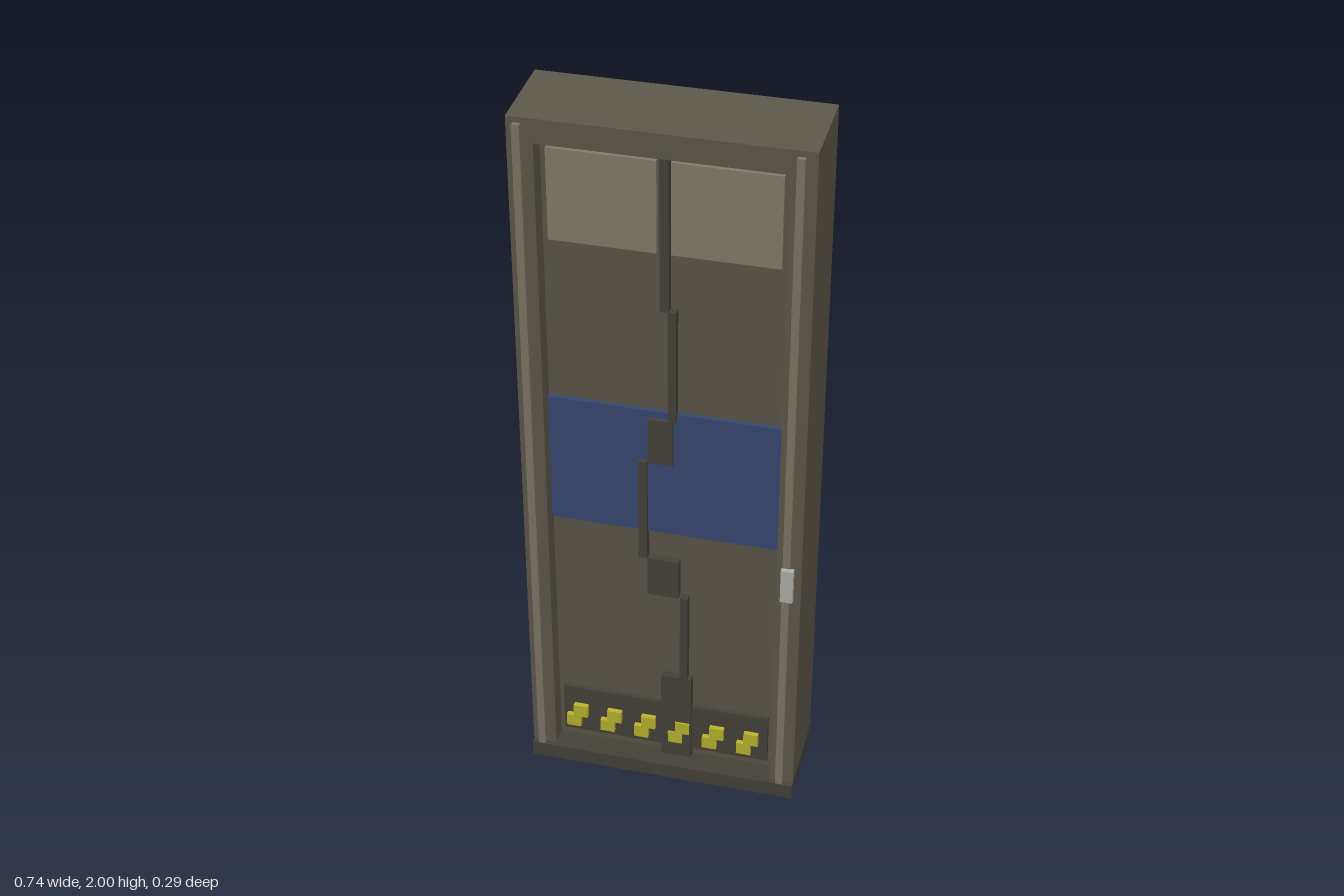
import * as THREE from 'three';

const mat = (color) => new THREE.MeshStandardMaterial({ color });

export function createModel() {
  const model = new THREE.Group();
  model.name = 'slidingDoor';
  const frameMat = mat(0x5d584b), doorMat = mat(0x5a5548), darkMat = mat(0x444138);
  const trimMat = mat(0x7d7565), windowMat = mat(0x837b6c), blueMat = mat(0x374770);
  const yellowMat = mat(0xb8b22e), handleMat = mat(0xaeb0a9);

  // Box given by its limits on each axis
  const box = (name, material, x0, x1, y0, y1, z0, z1, parent = model) => {
    const mesh = new THREE.Mesh(new THREE.BoxGeometry(x1 - x0, y1 - y0, z1 - z0), material);
    mesh.position.set((x0 + x1) / 2, (y0 + y1) / 2, (z0 + z1) / 2);
    mesh.name = name;
    parent.add(mesh);
    return mesh;
  };
  // Box running through the door, showing on both faces
  const through = (name, material, x0, x1, y0, y1, z, parent = model) =>
    box(name, material, x0, x1, y0, y1, -z, z, parent);

  // Frame: one outline with the doorway cut out
  const outline = new THREE.Shape([
    [-0.37, 0.02], [0.37, 0.02], [0.37, 2], [-0.37, 2],
  ].map(([x, y]) => new THREE.Vector2(x, y)));
  outline.holes.push(new THREE.Path([
    [-0.305, 0.035], [-0.305, 1.935], [0.305, 1.935], [0.305, 0.035],
  ].map(([x, y]) => new THREE.Vector2(x, y))));
  const frameGeo = new THREE.ExtrudeGeometry(outline, { depth: 0.24, bevelEnabled: false });
  frameGeo.translate(0, 0, -0.12);
  const frame = new THREE.Mesh(frameGeo, frameMat);
  frame.name = 'frame';
  model.add(frame);

  // Threshold
  through('threshold', darkMat, -0.37, 0.37, 0, 0.045, 0.135);

  // Door leaves with window, colour band and kick plate
  through('doorLeaves', doorMat, -0.305, 0.305, 0.045, 1.935, 0.068);
  through('rightWindow', windowMat, -0.29, -0.02, 1.655, 1.905, 0.078);
  through('leftWindow', windowMat, 0.015, 0.285, 1.655, 1.905, 0.078);
  through('colourBand', blueMat, -0.305, 0.305, 0.815, 1.195, 0.08);
  through('kickPlate', darkMat, -0.29, 0.287, 0.072, 0.225, 0.08);

  // Stepped seam where the leaves interlock: x0, x1, y0, y1
  const seam = new THREE.Group();
  seam.name = 'seam';
  model.add(seam);
  [
    [-0.01, 0.013, 1.5, 1.935],
    [0.01, 0.031, 1.175, 1.5],
    [-0.043, 0.022, 1.04, 1.175],
    [-0.069, -0.046, 0.73, 1.04],
    [-0.046, 0.038, 0.61, 0.73],
    [0.042, 0.063, 0.33, 0.61],
    [-0.01, 0.074, 0.045, 0.33],
  ].forEach((s) => through('seamStep', darkMat, ...s, 0.09, seam));

  // Hazard marks, each of two offset blocks
  const marks = new THREE.Group();
  marks.name = 'hazardMarks';
  model.add(marks);
  for (let i = 0; i < 6; i++) {
    const x = -0.25 + i * 0.0965;
    through('markLower', yellowMat, x - 0.03, x + 0.01, 0.095, 0.133, 0.094, marks);
    through('markUpper', yellowMat, x - 0.01, x + 0.03, 0.131, 0.17, 0.094, marks);
  }

  // Jamb strips and handles on both faces
  for (const [name, z0, z1] of [['front', 0.118, 0.133], ['back', -0.133, -0.118]]) {
    box(name + 'RightStrip', trimMat, -0.353, -0.333, 0.045, 1.985, z0, z1);
    box(name + 'LeftStrip', trimMat, 0.322, 0.342, 0.045, 1.985, z0, z1);
    const s = Math.sign(z0);
    box(name + 'Handle', handleMat, 0.32, 0.353, 0.7, 0.802,
      Math.min(s * 0.13, s * 0.145), Math.max(s * 0.13, s * 0.145));
  }
  return model;
}
